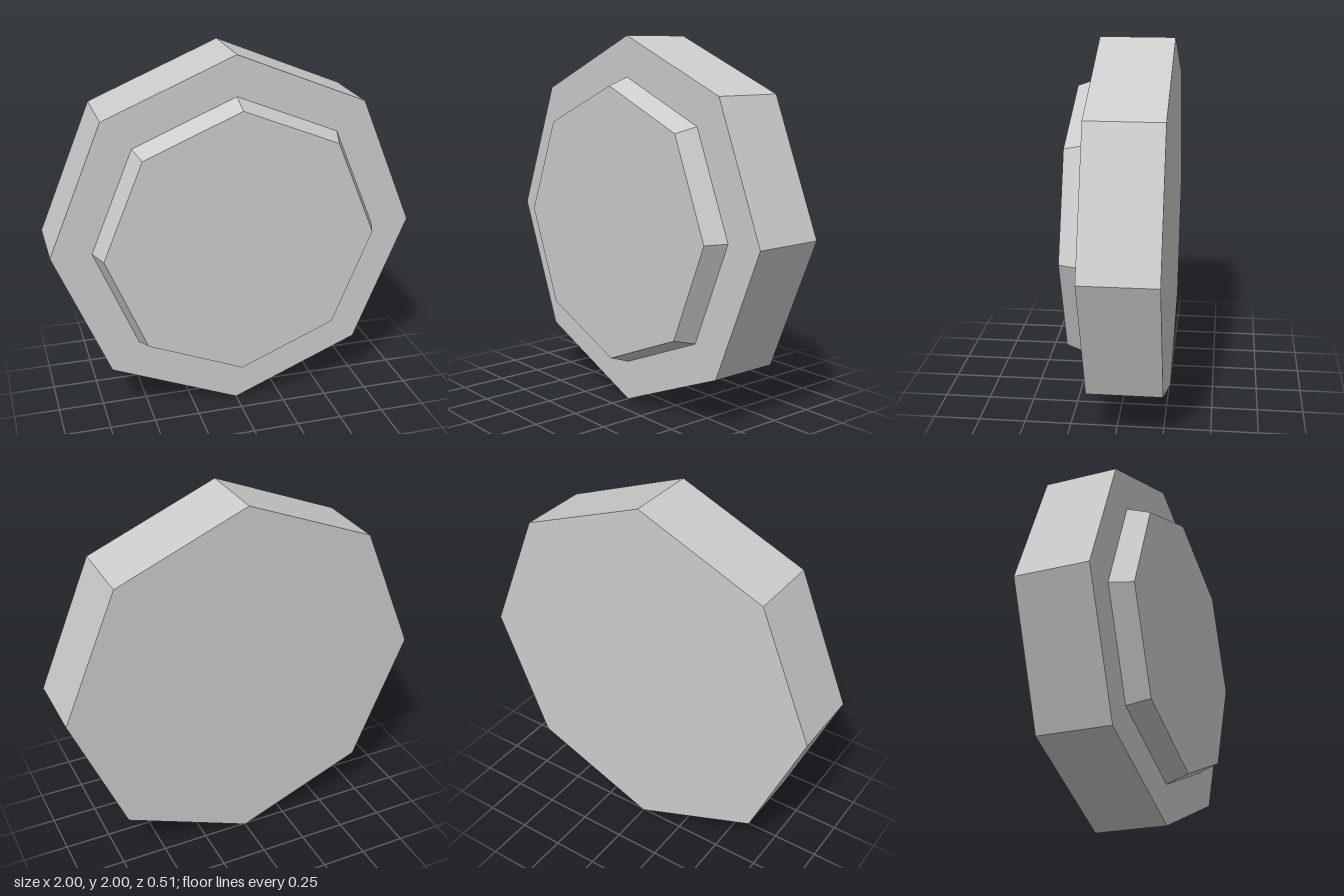
import * as THREE from 'three';

export function createModel() {
  const group = new THREE.Group();
  const grey = new THREE.MeshStandardMaterial({ color: 0xcccccc, flatShading: true });
  grey.name = 'light grey';

  // Octagonal prism lying along z, from zBack to zFront
  const octagon = (name, frontRadius, backRadius, zBack, zFront) => {
    const geometry = new THREE.CylinderGeometry(frontRadius, backRadius, zFront - zBack, 8);
    geometry.rotateX(Math.PI / 2);
    const mesh = new THREE.Mesh(geometry, grey);
    mesh.name = name;
    mesh.position.set(0, 1, (zBack + zFront) / 2);
    group.add(mesh);
  };

  // Thick body with a tapered raised plate on its front
  octagon('body', 1, 1, -0.257, 0.138);
  octagon('raisedFrontPlate', 0.74, 0.783, 0.138, 0.257);

  return group;
}
